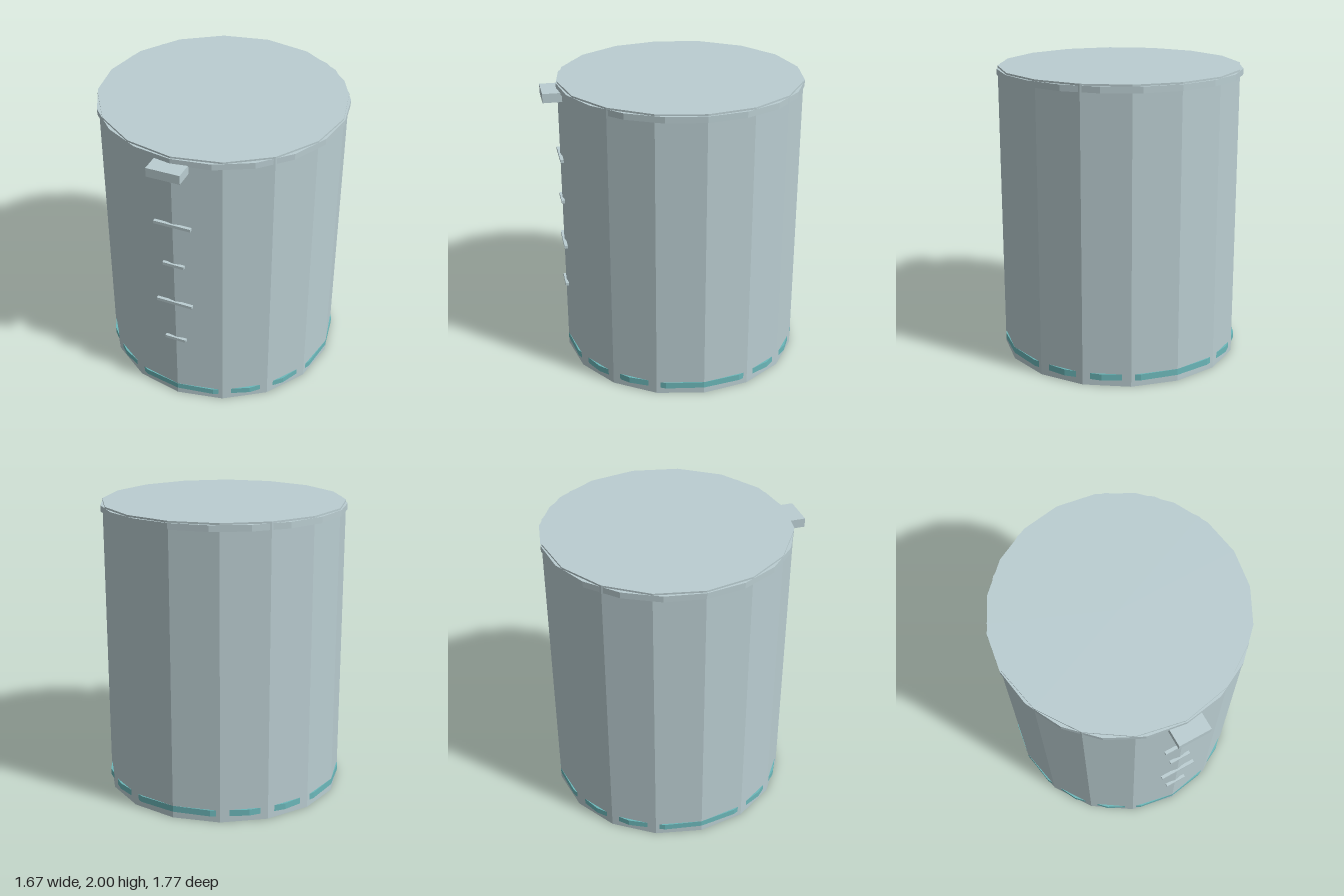
import * as THREE from 'three';

const steel = new THREE.MeshStandardMaterial({ color: 0xbacdd1, flatShading: true });
steel.name = 'pale steel';
const teal = new THREE.MeshStandardMaterial({ color: 0x6cb8ba, flatShading: true });
teal.name = 'teal';

const CENTRE_Z = -0.05;

export function createModel() {
  const group = new THREE.Group();
  group.name = 'canister';

  const add = (name, geometry, material, x, y, z) => {
    const mesh = new THREE.Mesh(geometry, material);
    mesh.name = name;
    mesh.position.set(x, y, z);
    group.add(mesh);
  };

  // Upright drum spanning yMin to yMax
  const drum = (name, radius, sides, yMin, yMax, material) =>
    add(name, new THREE.CylinderGeometry(radius, radius, yMax - yMin, sides),
      material, 0, (yMin + yMax) / 2, CENTRE_Z);

  drum('body', 0.825, 16, 0, 2, steel);

  // Bands with more sides than the body, so they surface only on its flats
  drum('lidRim', 0.833, 20, 1.947, 1.988, steel);
  drum('baseBand', 0.8254, 20, 0.042, 0.085, teal);

  // Front latch below the lid
  add('latch', new THREE.BoxGeometry(0.225, 0.062, 0.128), steel, 0, 1.925, 0.819);

  // Level marks, alternating short and long
  for (let i = 0; i < 4; i++) {
    const width = i % 2 ? 0.255 : 0.15;
    add('levelMark' + (i + 1), new THREE.BoxGeometry(width, 0.021, 0.022),
      steel, 0, 0.525 + i * 0.32, 0.776);
  }

  return group;
}
